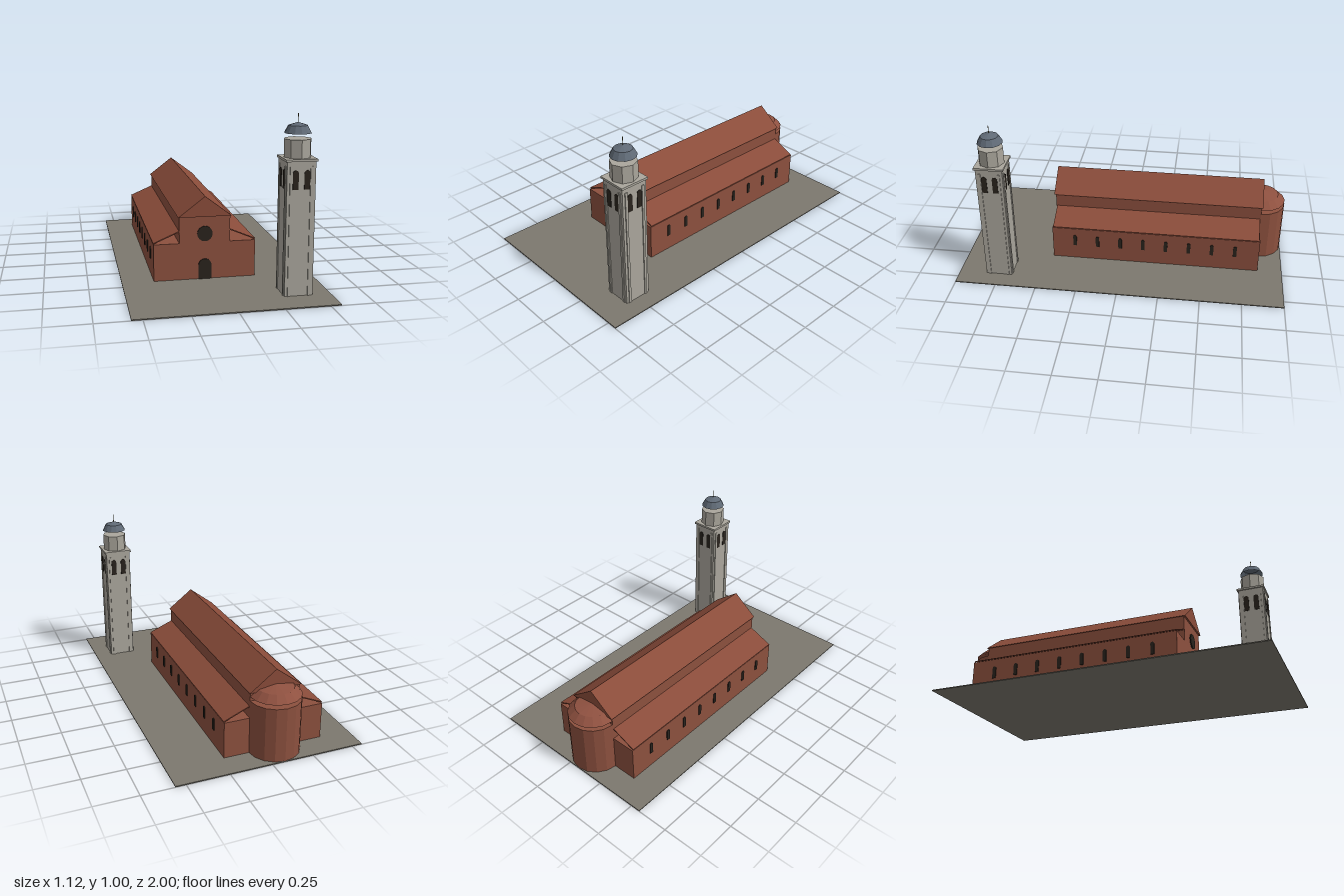
import * as THREE from 'three';

const paint = (color, side = THREE.FrontSide) =>
  new THREE.MeshStandardMaterial({ color, side, flatShading: true });

export function createModel() {
  const brick = paint(0x8c503e), tile = paint(0x8a4c3a), domeTile = paint(0x8f5140, THREE.DoubleSide);
  const stone = paint(0xaaa69c), slate = paint(0x606a76, THREE.DoubleSide);
  const paving = paint(0x7c786e), dark = paint(0x29231d), metal = paint(0x6b6038);

  const model = new THREE.Group();
  model.name = 'churchWithBellTower';

  const add = (parent, name, geometry, material, x = 0, y = 0, z = 0) => {
    const mesh = new THREE.Mesh(geometry, material);
    mesh.name = name;
    mesh.position.set(x, y, z);
    parent.add(mesh);
    return mesh;
  };
  // Box given by its base height
  const box = (parent, name, w, h, d, material, x, y, z) =>
    add(parent, name, new THREE.BoxGeometry(w, h, d), material, x, y + h / 2, z);

  // Round-headed opening panel, base at y = 0, facing +z
  const archPanel = (w, h, depth) => {
    const r = w / 2;
    const s = new THREE.Shape();
    s.moveTo(-r, 0);
    s.lineTo(r, 0);
    s.lineTo(r, h - r);
    s.absarc(0, h - r, r, 0, Math.PI, false);
    s.closePath();
    return new THREE.ExtrudeGeometry(s, { depth, bevelEnabled: false, curveSegments: 10 })
      .translate(0, 0, -depth / 2);
  };
  // Open, flattened half dome standing on y = 0
  const dome = (r, h, sides) =>
    new THREE.SphereGeometry(r, sides, 2, 0, Math.PI * 2, 0, Math.PI / 2).scale(1, h / r, 1);

  box(model, 'ground', 1.12, 0.006, 2, paving, 0, 0, 0);

  // Church, placed on the axis of the nave
  const church = new THREE.Group();
  church.name = 'church';
  church.position.x = -0.075;
  model.add(church);
  box(church, 'nave', 0.3, 0.377, 1.3, brick, 0, 0.003, -0.2);

  const gable = new THREE.Shape();
  gable.moveTo(-0.157, 0);
  gable.lineTo(0.157, 0);
  gable.lineTo(0, 0.12);
  gable.closePath();
  add(church, 'naveRoof', new THREE.ExtrudeGeometry(gable, { depth: 1.32, bevelEnabled: false }),
    tile, 0, 0.38, -0.86);

  // Aisles with thin lean-to roofs and a row of windows
  const aisleWindow = archPanel(0.022, 0.074, 0.01);
  for (const side of [-1, 1]) {
    const aisle = new THREE.Group();
    aisle.name = side > 0 ? 'leftAisle' : 'rightAisle';
    church.add(aisle);
    box(aisle, 'aisleWall', 0.15, 0.222, 1.3, brick, side * 0.225, 0.003, -0.2);
    const roof = add(aisle, 'aisleRoof', new THREE.BoxGeometry(0.164, 0.006, 1.29), tile,
      side * 0.225, 0.262, -0.2);
    roof.rotation.z = -side * Math.atan2(0.064, 0.15);
    for (let i = 0; i < 8; i++) {
      const win = add(aisle, 'aisleWindow', aisleWindow, dark, side * 0.3, 0.103, 0.307 - i * 0.144);
      win.rotation.y = Math.PI / 2;
    }
  }

  // Facade openings
  add(church, 'door', archPanel(0.076, 0.121, 0.012), dark, 0, 0.006, 0.45);
  const rose = add(church, 'roseWindow', new THREE.CylinderGeometry(0.045, 0.045, 0.012, 24), dark,
    0, 0.278, 0.45);
  rose.rotation.x = Math.PI / 2;

  // Apse with its raised cap
  add(church, 'apse', new THREE.CylinderGeometry(0.15, 0.15, 0.327, 16), brick, 0, 0.1665, -0.85);
  add(church, 'apseDome', dome(0.15, 0.058, 16), domeTile, 0, 0.355, -0.85);

  // Bell tower
  const tower = new THREE.Group();
  tower.name = 'bellTower';
  tower.position.set(0.3725, 0, 0.75);
  model.add(tower);
  box(tower, 'shaft', 0.16, 0.749, 0.16, stone, 0, 0.003, 0);
  box(tower, 'cornice', 0.176, 0.013, 0.176, stone, 0, 0.752, 0);

  // Pilaster strips and paired belfry openings on each face
  const belfryArch = archPanel(0.032, 0.105, 0.006);
  for (let i = 0; i < 4; i++) {
    const face = new THREE.Group();
    face.name = 'towerFace';
    face.rotation.y = i * Math.PI / 2;
    tower.add(face);
    for (const s of [-1, 1]) {
      box(face, 'pilasterStrip', 0.015, 0.722, 0.01, stone, s * 0.057, 0.003, 0.08);
      add(face, 'belfryOpening', belfryArch, dark, s * 0.032, 0.6, 0.08);
    }
  }

  // Octagonal drum, raised cap and finial
  add(tower, 'drum', new THREE.CylinderGeometry(0.076, 0.076, 0.1, 8), stone, 0, 0.815, 0);
  add(tower, 'towerDome', dome(0.075, 0.058, 12), slate, 0, 0.895, 0);
  add(tower, 'finial', new THREE.CylinderGeometry(0.002, 0.002, 0.05, 6), metal, 0, 0.975, 0);

  return model;
}
